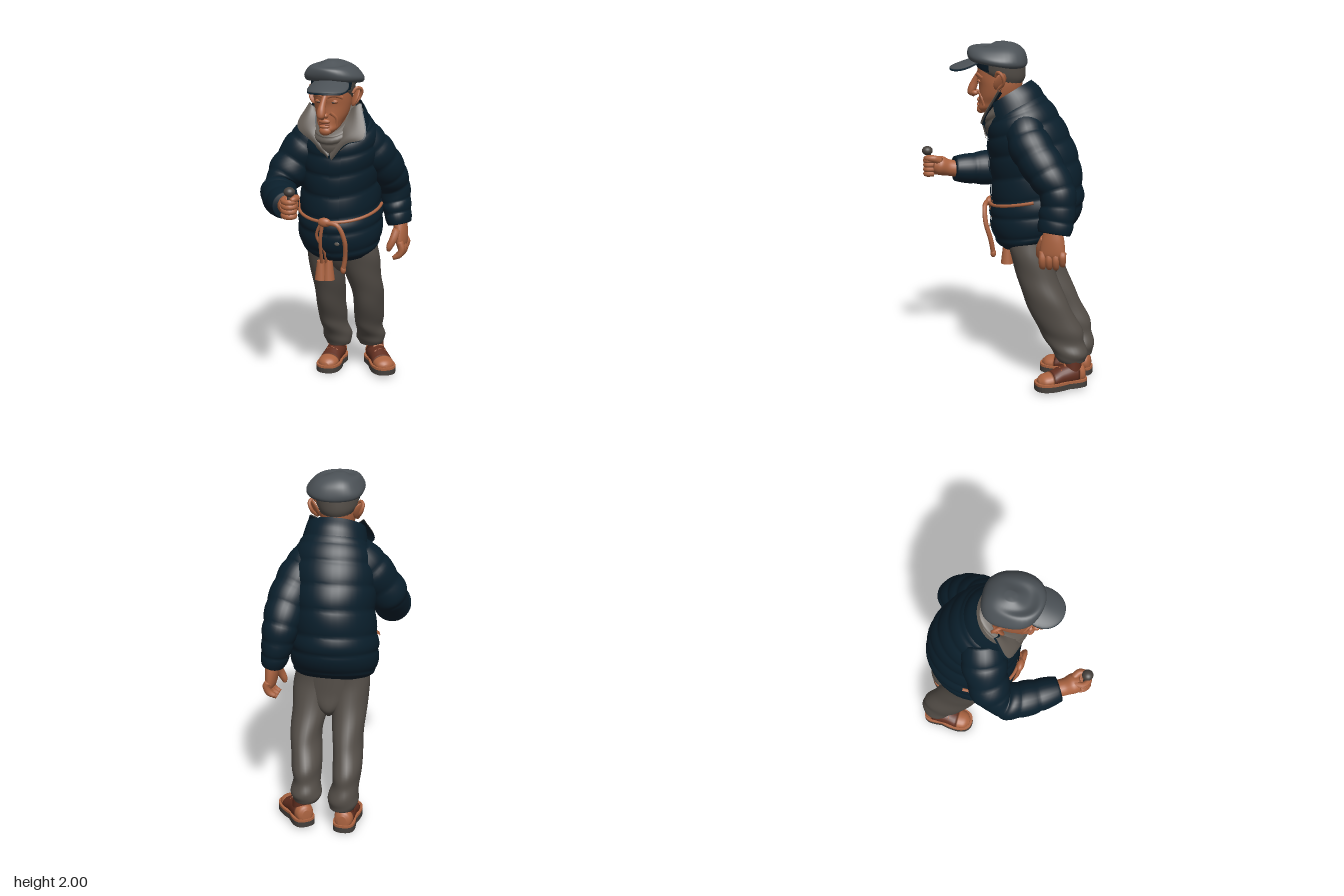
import * as THREE from 'three';
import { mergeVertices } from 'three/addons/utils/BufferGeometryUtils.js';

const V = (x, y, z) => new THREE.Vector3(x, y, z);
const material = (name, color, side = THREE.FrontSide) => {
  const m = new THREE.MeshStandardMaterial({ color, side });
  m.name = name;
  return m;
};
const M = {
  jacket: material('navy quilt', 0x0a1f2c, THREE.DoubleSide),
  skin: material('tan', 0xac6441),
  trousers: material('warm grey', 0x544e48),
  cap: material('slate', 0x4b5156),
  lining: material('lining grey', 0x625b54, THREE.DoubleSide),
  leather: material('brown leather', 0x622f20),
  dark: material('charcoal', 0x45403c),
  lip: material('dull red brown', 0x87452f),
};

export function createModel() {
  const model = new THREE.Group();
  const add = (name, geo, mat, parent = model) => {
    const mesh = new THREE.Mesh(geo, mat);
    mesh.name = name;
    parent.add(mesh);
    return mesh;
  };

  // Smooth surface through elliptical rings [centre, u, v]
  const surface = (rings, mod = () => 1) => {
    const [C, U, W] = [0, 1, 2].map(k => new THREE.CatmullRomCurve3(rings.map(r => r[k]), false, 'catmullrom', 0.5));
    return (t, a, off = 0, s = 1) => {
      const u = U.getPoint(t), w = W.getPoint(t), m = mod(t, a) * s;
      const d = u.clone().normalize().multiplyScalar(Math.cos(a)).addScaledVector(w.clone().normalize(), Math.sin(a));
      return C.getPoint(t).addScaledVector(u, m * Math.cos(a)).addScaledVector(w, m * Math.sin(a)).addScaledVector(d, off);
    };
  };
  // Grid of points f(row, column), both 0..1
  const grid = (f, rows, cols) => {
    const pos = [], idx = [], n = cols + 1;
    for (let i = 0; i <= rows; i++) for (let j = 0; j <= cols; j++) {
      pos.push(...f(i / rows, j / cols, i).toArray());
      if (i < rows && j < cols) {
        const a = i * n + j;
        idx.push(a, a + 1, a + n, a + 1, a + n + 1, a + n);
      }
    }
    let g = new THREE.BufferGeometry();
    g.setAttribute('position', new THREE.Float32BufferAttribute(pos, 3));
    g.setIndex(idx);
    g = mergeVertices(g, 1e-5);
    g.computeVertexNormals();
    return g;
  };
  // Closed skin over a surface between t0 and t1
  const solid = (s, rows = 24, cols = 24, t0 = 0, t1 = 1) => grid((r, c, i) => {
    const k = Math.min(Math.max((i - 1) / (rows - 2), 0), 1);
    return s(t0 + (t1 - t0) * k, (c % 1) * Math.PI * 2, 0, i === 0 || i === rows ? 0 : 1);
  }, rows, cols);
  const patch = (s, t0, t1, a0, a1, off, rows = 24, cols = 8) =>
    grid((r, c) => s(t0 + (t1 - t0) * r, a0 + (a1 - a0) * c, off), rows, cols);
  // Ring given by centre x, half width, and its front and back points (y, z)
  const ring = (x, w, yf, zf, yb, zb) =>
    [V(x, (yf + yb) / 2, (zf + zb) / 2), V(w, 0, 0), V(0, (yb - yf) / 2, (zb - zf) / 2)];
  const rings = list => list.map(r => ring(...r));
  // Limb along points [x, y, z, ra, rb]
  const limb = (pts, ref = V(0, 0, 1), mod) => {
    const p = pts.map(q => V(q[0], q[1], q[2]));
    return surface(p.map((c, i) => {
      const t = p[Math.min(i + 1, p.length - 1)].clone().sub(p[Math.max(i - 1, 0)]).normalize();
      const u = ref.clone().cross(t).normalize(), w = t.clone().cross(u);
      return [c, u.multiplyScalar(pts[i][3]), w.multiplyScalar(pts[i][4] ?? pts[i][3])];
    }), mod);
  };
  const cord = (pts, r, n = 24) =>
    new THREE.TubeGeometry(new THREE.CatmullRomCurve3(pts.map(p => V(...p))), n, r, 8);
  const ball = (name, mat, c, s, parent) => {
    const m = add(name, new THREE.SphereGeometry(1, 24, 16), mat, parent);
    m.position.set(...c);
    m.scale.set(...s);
    return m;
  };
  const puffs = (n, d) => (t, a) => 1 - d + 2 * d * Math.pow(Math.abs(Math.sin(Math.PI * n * t + 0.12 * Math.sin(2 * a))), 0.6);

  // Quilted jacket body, placket and snap
  const torso = surface(rings([
    [0.015, 0.2, 0.8, 0.0, 0.89, -0.34], [0.005, 0.24, 0.86, 0.05, 0.95, -0.41],
    [0, 0.25, 0.98, 0.08, 1.07, -0.455], [0, 0.24, 1.07, 0.075, 1.18, -0.45],
    [0.005, 0.23, 1.2, 0.075, 1.33, -0.43], [0.01, 0.235, 1.33, 0.085, 1.46, -0.38],
    [0.02, 0.23, 1.44, 0.09, 1.58, -0.315], [0.025, 0.203, 1.53, 0.08, 1.67, -0.25],
    [0.025, 0.145, 1.58, 0.05, 1.73, -0.18]]), puffs(8, 0.022));
  add('jacketBody', solid(torso, 82, 40), M.jacket);
  const front = -Math.PI / 2;
  add('placket', patch(torso, 0.02, 0.76, front + 0.05, front + 0.32, 0.007, 60), M.jacket);
  ball('snap', M.lining, torso(0.2, front + 0.26, 0.009).toArray(), [0.016, 0.011, 0.004]);

  // Sleeves
  const sleeve = (name, pts, ref) => add(name, solid(limb(pts, ref, puffs(7, 0.04)), 70, 28), M.jacket);
  sleeve('leftSleeve', [[0.13, 1.55, -0.13, 0.11], [0.2, 1.44, -0.19, 0.12], [0.25, 1.31, -0.29, 0.115],
    [0.273, 1.19, -0.368, 0.1], [0.295, 1.07, -0.37, 0.085, 0.1], [0.318, 0.97, -0.36, 0.07, 0.093]], V(0, 0, 1));
  sleeve('rightSleeve', [[-0.09, 1.57, -0.1, 0.11], [-0.19, 1.44, -0.06, 0.125], [-0.275, 1.3, 0, 0.113],
    [-0.288, 1.222, 0.08, 0.102], [-0.225, 1.205, 0.21, 0.098], [-0.135, 1.21, 0.355, 0.075]], V(0.5, 0.6, -0.6));

  // Standing collar with grey lining and open lapels
  const collar = surface(rings([[0.025, 0.18, 1.5, 0.08, 1.68, -0.22], [0.025, 0.168, 1.56, 0.1, 1.735, -0.19],
    [0.025, 0.155, 1.62, 0.1, 1.775, -0.14]]));
  add('collarOutside', patch(collar, 0, 1, -0.4, Math.PI + 0.4, 0.012, 10, 30), M.jacket);
  add('collarLining', patch(collar, 0, 1, -0.4, Math.PI + 0.4, -0.006, 10, 30), M.lining);
  const lapel = (name, inner, outer) => {
    const [A, B] = [inner, outer].map(l => new THREE.CatmullRomCurve3(l.map(p => V(...p))));
    const sheet = (off, widen) => grid((r, c) => A.getPoint(r).lerp(B.getPoint(r), c * widen)
      .add(V(0, -off * 0.3, 0.01 * Math.sin(Math.PI * c) - off)), 20, 6);
    add(name, sheet(0, 1), M.lining);
    add(name + 'Outside', sheet(0.012, 1.04), M.jacket);
  };
  lapel('rightLapel', [[-0.09, 1.71, 0], [-0.055, 1.6, 0.08], [0.03, 1.47, 0.102]],
    [[-0.13, 1.74, -0.01], [-0.175, 1.61, 0.07], [-0.07, 1.53, 0.105], [0.025, 1.44, 0.103]]);
  lapel('leftLapel', [[0.13, 1.72, 0], [0.1, 1.6, 0.08], [0.035, 1.47, 0.102]],
    [[0.18, 1.75, -0.01], [0.23, 1.57, 0.085], [0.13, 1.53, 0.105], [0.045, 1.43, 0.103]]);
  add('scarf', solid(surface(rings([[0.025, 0.11, 1.45, 0.09, 1.58, -0.12], [0.025, 0.135, 1.52, 0.12, 1.69, -0.16],
    [0.025, 0.13, 1.56, 0.125, 1.745, -0.15], [0.025, 0.085, 1.59, 0.105, 1.75, -0.11]]), puffs(3, 0.03)), 26, 28), M.lining);

  // Rope belt, knot, cords and tassels
  const beltPoints = [];
  for (let i = 0; i <= 24; i++) beltPoints.push(torso(0.362, -Math.PI + 0.02 + i / 24 * (Math.PI + 0.12), 0.007).toArray());
  add('ropeBelt', cord(beltPoints, 0.0095, 60), M.skin);
  ball('ropeKnot', M.skin, [0, 1.06, 0.098], [0.04, 0.028, 0.022]);
  add('tasselCord', cord([[-0.01, 1.06, 0.1], [-0.03, 0.95, 0.085], [-0.045, 0.79, 0.02]], 0.011), M.skin);
  add('tasselCord', cord([[-0.02, 1.06, 0.1], [-0.055, 0.97, 0.08], [-0.02, 0.88, 0.05], [-0.02, 0.79, 0.01]], 0.009), M.skin);
  add('ropeLoop', cord([[0, 1.06, 0.105], [0.08, 1.05, 0.105], [0.12, 0.96, 0.09], [0.115, 0.85, 0.06], [0.1, 0.77, 0.05]], 0.014), M.skin);
  ball('ropeEnd', M.skin, [0.1, 0.77, 0.05], [0.017, 0.025, 0.017]);
  for (const [x, z] of [[-0.055, 0.005], [-0.012, -0.005]])
    add('tassel', new THREE.CylinderGeometry(0.024, 0.038, 0.115, 16), M.skin).position.set(x, 0.74, z);

  // Trousers: creased legs gathering at the ankle, joined by a seat
  const crease = (t, a) => 1 + 0.03 * Math.sin(t * 30 + 2.2 * Math.sin(a + 0.6)) * (1 - 0.7 * t);
  const leg = (name, list) => add(name, solid(surface(rings(list), crease), 60, 28), M.trousers);
  leg('rightLeg', [[-0.095, 0.074, 0.13, -0.345, 0.13, -0.505], [-0.097, 0.09, 0.19, -0.32, 0.18, -0.52],
    [-0.105, 0.077, 0.27, -0.27, 0.26, -0.505], [-0.11, 0.084, 0.36, -0.225, 0.35, -0.485], [-0.098, 0.087, 0.5, -0.16, 0.49, -0.415],
    [-0.092, 0.1, 0.65, -0.105, 0.65, -0.345], [-0.09, 0.113, 0.8, -0.06, 0.8, -0.3], [-0.08, 0.11, 0.93, -0.03, 0.94, -0.3]]);
  leg('leftLeg', [[0.12, 0.074, 0.16, -0.345, 0.16, -0.505], [0.122, 0.09, 0.21, -0.32, 0.2, -0.523],
    [0.125, 0.078, 0.28, -0.27, 0.27, -0.505], [0.13, 0.087, 0.37, -0.22, 0.36, -0.487], [0.15, 0.09, 0.52, -0.155, 0.5, -0.415],
    [0.138, 0.105, 0.66, -0.105, 0.65, -0.345], [0.12, 0.124, 0.8, -0.06, 0.8, -0.3], [0.1, 0.12, 0.93, -0.03, 0.94, -0.3]]);
  add('seat', solid(surface(rings([[0.02, 0.035, 0.69, -0.16, 0.63, -0.285], [0.02, 0.085, 0.72, -0.115, 0.68, -0.32],
    [0.015, 0.17, 0.8, -0.07, 0.78, -0.312], [0.01, 0.2, 0.9, -0.04, 0.93, -0.31]])), 20, 28), M.trousers);

  // Shoes: heel, middle and toe panels on a welted flat sole
  const shoeBody = surface([[0, 0.06, 0.37, 0.04], [0.02, 0.07, 0.05, 0.055], [0.08, 0.075, 0.058, 0.062], [0.15, 0.068, 0.058, 0.055],
    [0.21, 0.055, 0.064, 0.044], [0.265, 0.05, 0.055, 0.036], [0.295, 0.045, 0.02, 0.018]]
    .map(([z, y, w, h], i) => [V(0, y, z), V(i ? w : 0.025, 0, 0), V(0, h, 0)]));
  const outline = new THREE.Shape();
  outline.moveTo(0, -0.01);
  outline.bezierCurveTo(0.075, -0.01, 0.068, 0.05, 0.06, 0.12);
  outline.bezierCurveTo(0.08, 0.19, 0.095, 0.31, 0, 0.31);
  outline.bezierCurveTo(-0.095, 0.31, -0.08, 0.19, -0.06, 0.12);
  outline.bezierCurveTo(-0.068, 0.05, -0.075, -0.01, 0, -0.01);
  for (const [name, x, y, turn] of [['rightShoe', -0.108, 0, 0], ['leftShoe', 0.102, 0.016, 0.64]]) {
    const shoe = new THREE.Group();
    shoe.name = name;
    shoe.position.set(x, y, -0.5);
    shoe.rotation.y = turn;
    model.add(shoe);
    add('heelPanel', solid(shoeBody, 12, 24, 0, 0.26), M.skin, shoe);
    add('middlePanel', solid(shoeBody, 14, 24, 0.26, 0.68), M.leather, shoe);
    add('toePanel', solid(shoeBody, 14, 24, 0.68, 1), M.skin, shoe);
    add('ankle', solid(limb([[0, 0.06, 0.08, 0.055], [0, 0.12, 0.075, 0.052], [0, 0.19, 0.07, 0.05]])), M.leather, shoe);
    for (const z of [0.13, 0.155, 0.18])
      add('lace', cord([[-0.035, 0.26 - z, z + 0.005], [0, 0.268 - z + 0.1 * (z - 0.13), z], [0.035, 0.26 - z, z + 0.005]], 0.006, 8), M.skin, shoe);
    for (const [part, mat, top, depth] of [['sole', M.dark, 0.032, 0.032], ['welt', M.skin, 0.046, 0.014]]) {
      const layer = add(part, new THREE.ExtrudeGeometry(outline, { depth, bevelEnabled: false, curveSegments: 12 }), mat, shoe);
      layer.rotation.x = Math.PI / 2;
      layer.position.y = top;
    }
  }

  // Head and neck
  const hx = 0.027;
  add('neck', solid(limb([[0.025, 1.5, -0.04, 0.07], [0.025, 1.62, 0, 0.07], [0.025, 1.72, 0.03, 0.08]])), M.skin);
  add('head', solid(surface(rings([[hx, 0.025, 1.585, 0.135, 1.6, 0.06], [hx, 0.055, 1.61, 0.158, 1.63, 0.0], [hx, 0.07, 1.645, 0.152, 1.66, -0.05],
    [hx, 0.09, 1.69, 0.15, 1.7, -0.085], [hx, 0.102, 1.75, 0.15, 1.75, -0.1], [hx, 0.105, 1.8, 0.16, 1.8, -0.105],
    [hx, 0.106, 1.87, 0.155, 1.86, -0.1]])), 30, 28), M.skin);
  add('nose', solid(limb([[hx, 1.815, 0.15, 0.016], [0.022, 1.77, 0.175, 0.017, 0.02], [0.018, 1.725, 0.195, 0.024], [0.018, 1.7, 0.2, 0.022], [0.018, 1.685, 0.18, 0.012]])), M.skin);
  ball('upperLip', M.skin, [0.02, 1.662, 0.146], [0.034, 0.016, 0.018]);
  ball('mouth', M.lip, [0.02, 1.645, 0.149], [0.034, 0.005, 0.01]);
  ball('lowerLip', M.skin, [0.02, 1.633, 0.148], [0.032, 0.012, 0.018]);
  ball('chin', M.skin, [0.022, 1.607, 0.142], [0.035, 0.026, 0.024]);
  for (const s of [-1, 1]) {
    const at = d => hx + s * d;
    ball('nostril', M.skin, [0.018 + s * 0.02, 1.7, 0.175], [0.014, 0.015, 0.02]);
    ball('eyelid', M.skin, [at(0.044), 1.775, 0.132], [0.024, 0.014, 0.016]);
    ball('eye', M.dark, [at(0.044), 1.771, 0.144], [0.012, 0.004, 0.006]);
    add('brow', cord([[at(0.015), 1.805, 0.156], [at(0.045), 1.812, 0.144], [at(0.08), 1.795, 0.102]], 0.012, 10), M.skin);
    add('cheekFold', cord([[at(0.025), 1.715, 0.146], [at(0.052), 1.68, 0.119], [at(0.05), 1.635, 0.107]], 0.011, 10), M.skin);
    const ear = ball('ear', M.skin, [at(0.125), 1.785, -0.005], [0.012, 0.055, 0.036]);
    ear.rotation.set(-0.2, s * 0.75, -s * 0.3);
    add('earRim', cord([[at(0.115), 1.74, 0.01], [at(0.14), 1.78, -0.03], [at(0.155), 1.825, -0.025], [at(0.135), 1.838, 0.005], [at(0.115), 1.81, 0.02]], 0.01, 16), M.skin);
  }

  // Flat cap: band with navy front strip, crown and sloping peak
  const band = surface(rings([[hx, 0.104, 1.84, 0.135, 1.755, -0.095], [hx, 0.118, 1.855, 0.155, 1.8, -0.118],
    [hx + 0.005, 0.125, 1.895, 0.16, 1.88, -0.12]]));
  add('capBand', solid(band, 12, 32), M.trousers);
  add('capBandFront', patch(band, 0.45, 1, -Math.PI + 0.3, -0.3, 0.005, 8, 24), M.jacket);
  add('capCrown', solid(surface(rings([[0.035, 0.12, 1.89, 0.14, 1.85, -0.1], [0.04, 0.155, 1.895, 0.185, 1.862, -0.125],
    [0.041, 0.164, 1.925, 0.205, 1.89, -0.13], [0.036, 0.138, 1.96, 0.205, 1.935, -0.118], [0.028, 0.108, 1.973, 0.18, 1.968, -0.09],
    [0.022, 0.07, 1.962, 0.13, 1.99, -0.05], [0.018, 0.028, 1.994, 0.06, 1.998, 0]]),
    (t, a) => 1 + 0.06 * Math.sin(2 * a) ** 2 + 0.01 * Math.sin(5 * a + 6 * t)), 36, 40), M.cap);
  const peak = (name, mat, y, k) => {
    const g = new THREE.SphereGeometry(1, 32, 16);
    g.scale(0.117 * k, 0.013, 0.12 * k);
    const p = g.attributes.position;
    for (let i = 0; i < p.count; i++) p.setY(i, p.getY(i) - 2.2 * p.getX(i) ** 2 - 0.32 * p.getZ(i));
    g.computeVertexNormals();
    add(name, g, mat).position.set(0.058, y, 0.195);
  };
  peak('capPeak', M.cap, 1.888, 1);
  peak('capPeakLining', M.jacket, 1.878, 0.995);

  // Hanging left hand
  add('leftPalm', solid(limb([[0.318, 1.0, -0.355, 0.042, 0.048], [0.328, 0.93, -0.355, 0.04, 0.066], [0.335, 0.86, -0.355, 0.032, 0.072], [0.335, 0.83, -0.355, 0.022, 0.062]])), M.skin);
  for (let i = 0; i < 4; i++) {
    const z = -0.415 + i * 0.038, d = i === 0 ? 0.02 : 0;
    add('leftFinger', solid(limb([[0.338, 0.87, z, 0.02], [0.35, 0.825 + d, z, 0.021], [0.335, 0.785 + d, z + 0.003, 0.019], [0.3, 0.765 + d, z + 0.006, 0.013]]), 14, 12), M.skin);
  }
  add('leftThumb', solid(limb([[0.318, 0.94, -0.31, 0.028], [0.302, 0.885, -0.28, 0.024], [0.283, 0.84, -0.268, 0.02], [0.277, 0.815, -0.268, 0.011]]), 14, 12), M.skin);

  // Right fist holding a short knobbed stick
  add('rightWrist', solid(limb([[-0.14, 1.21, 0.34, 0.05], [-0.115, 1.22, 0.39, 0.05], [-0.09, 1.235, 0.43, 0.058], [-0.078, 1.24, 0.465, 0.045]], V(0, 1, 0))), M.skin);
  for (let i = 0; i < 4; i++)
    add('rightFinger', cord([[-0.105, 1.192 + 0.027 * i, 0.435], [-0.098, 1.19 + 0.027 * i, 0.485], [-0.06, 1.188 + 0.027 * i, 0.51],
      [-0.034, 1.19 + 0.027 * i, 0.49], [-0.045, 1.192 + 0.027 * i, 0.455]], 0.0165, 16), M.skin);
  add('rightThumb', solid(limb([[-0.07, 1.265, 0.42, 0.024], [-0.035, 1.285, 0.45, 0.021], [-0.033, 1.287, 0.49, 0.018], [-0.045, 1.285, 0.51, 0.01]], V(0, 1, 0)), 14, 12), M.skin);
  add('stick', new THREE.CylinderGeometry(0.013, 0.013, 0.13, 12), M.dark).position.set(-0.058, 1.255, 0.49);
  ball('knob', M.dark, [-0.056, 1.328, 0.497], [0.032, 0.027, 0.032]);

  return model;
}
